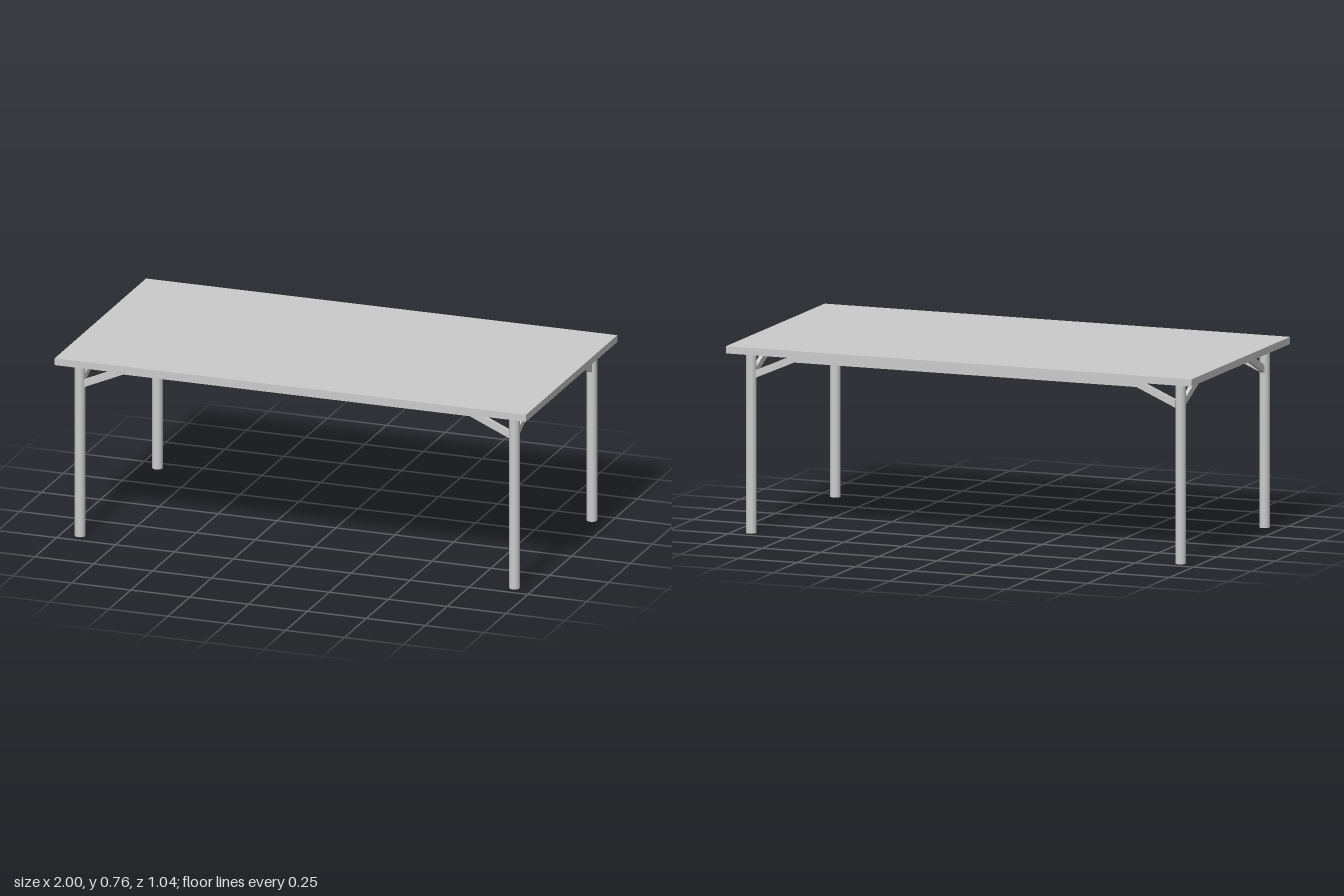
import * as THREE from 'three';

const LEG_X = 0.922, LEG_Z = 0.443, LEG_R = 0.021, LEG_H = 0.727;
const TOP_Y = 0.733, TOP_T = 0.029;
const RAIL_H = 0.031, RAIL_W = 0.016, DROP = 0.073;

const material = new THREE.MeshStandardMaterial({ color: 0xcccccc });

function add(parent, name, geometry, x = 0, y = 0, z = 0) {
  const mesh = new THREE.Mesh(geometry, material);
  mesh.name = name;
  mesh.position.set(x, y, z);
  parent.add(mesh);
  return mesh;
}

// Flat rail whose ends bend down to meet the legs
function railGeometry(end, kink) {
  const low = TOP_Y - RAIL_H;
  const shape = new THREE.Shape([
    [-end, TOP_Y - DROP], [-end, low - DROP], [-kink, low], [kink, low],
    [end, low - DROP], [end, TOP_Y - DROP], [kink, TOP_Y], [-kink, TOP_Y],
  ].map(([x, y]) => new THREE.Vector2(x, y)));
  const geometry = new THREE.ExtrudeGeometry(shape, { depth: RAIL_W, bevelEnabled: false });
  return geometry.translate(0, 0, -RAIL_W / 2);
}

export function createModel() {
  const table = new THREE.Group();
  table.name = 'table';

  add(table, 'tableTop', new THREE.BoxGeometry(2, TOP_T, 1.044), 0, TOP_Y + TOP_T / 2, 0);

  // Round legs, each with a thin pin up to the top
  const legGeometry = new THREE.CylinderGeometry(LEG_R, LEG_R, LEG_H, 32);
  const pinHeight = TOP_Y - LEG_H;
  const pinGeometry = new THREE.CylinderGeometry(0.004, 0.004, pinHeight, 16);
  for (const sx of [-1, 1]) {
    for (const sz of [-1, 1]) {
      const name = (sz > 0 ? 'front' : 'back') + (sx > 0 ? 'Left' : 'Right');
      add(table, name + 'Leg', legGeometry, sx * LEG_X, LEG_H / 2, sz * LEG_Z);
      add(table, name + 'Pin', pinGeometry, sx * LEG_X, LEG_H + pinHeight / 2, sz * LEG_Z);
    }
  }

  // Rails between neighbouring legs
  const longRail = railGeometry(LEG_X - LEG_R + 0.001, 0.735);
  const shortRail = railGeometry(LEG_Z - LEG_R + 0.001, 0.265).rotateY(Math.PI / 2);
  for (const s of [-1, 1]) {
    add(table, s > 0 ? 'frontRail' : 'backRail', longRail, 0, 0, s * LEG_Z);
    add(table, s > 0 ? 'leftRail' : 'rightRail', shortRail, s * LEG_X, 0, 0);
  }
  return table;
}
